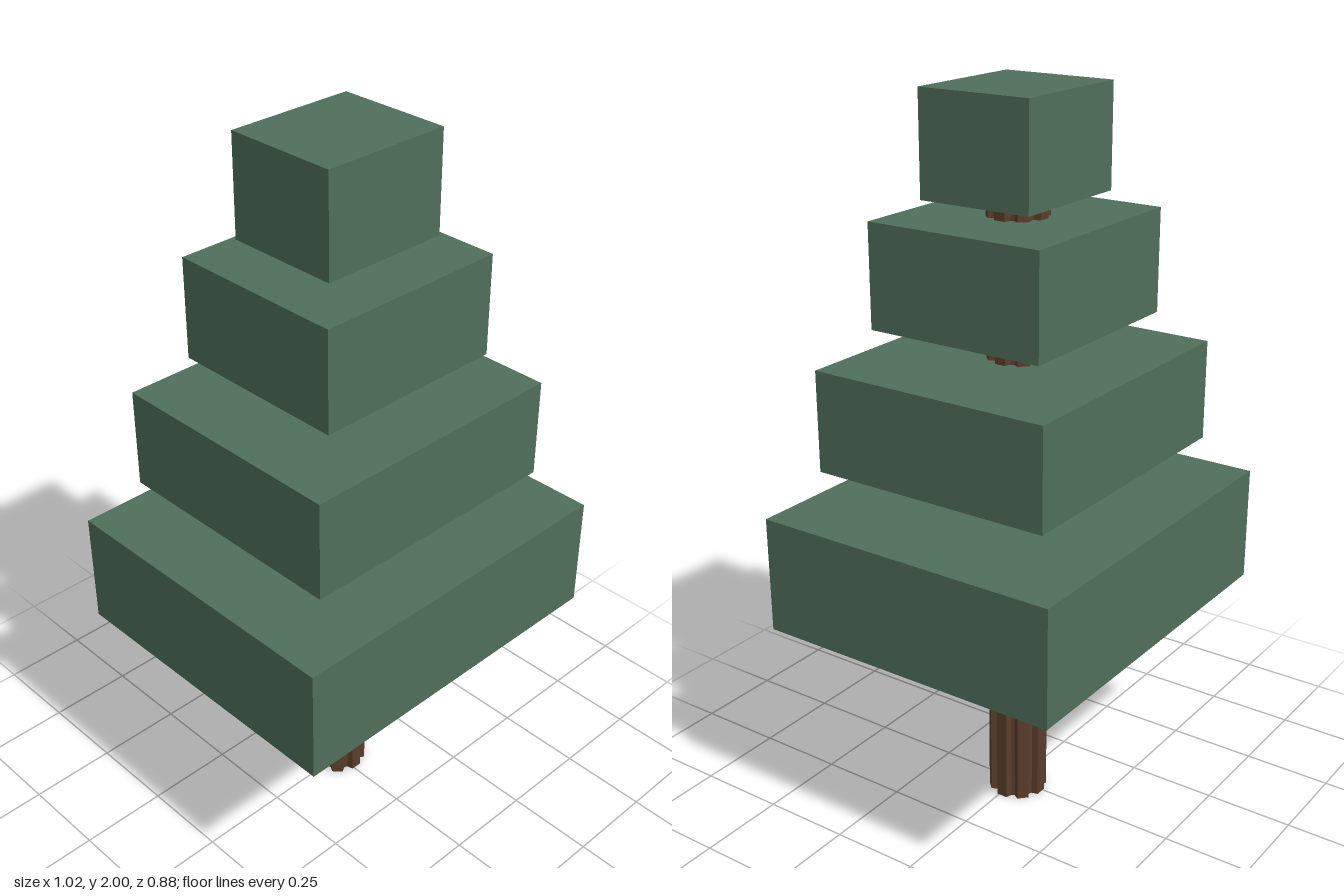
import * as THREE from 'three';

const leafMaterial = new THREE.MeshStandardMaterial({ color: 0x4f6f5b });
const barkMaterial = new THREE.MeshStandardMaterial({ color: 0x5a3e2b, flatShading: true });

// Grooved outline: blunt ridges separated by narrow valleys
function groovedOutline(ridges, outer, inner) {
  const points = [];
  const step = (Math.PI * 2) / ridges;
  for (let i = 0; i < ridges; i++) {
    for (const [offset, radius] of [[-0.4, inner], [-0.25, outer], [0.25, outer], [0.4, inner]]) {
      const a = (i + offset) * step;
      points.push(new THREE.Vector2(Math.cos(a) * radius, Math.sin(a) * radius));
    }
  }
  return new THREE.Shape(points);
}

export function createModel() {
  const tree = new THREE.Group();
  tree.name = 'tree';

  // Grooved trunk, slightly off centre, reaching into the top tier
  const trunkGeometry = new THREE.ExtrudeGeometry(groovedOutline(8, 0.082, 0.066), {
    depth: 1.78,
    bevelEnabled: false,
  });
  trunkGeometry.rotateX(-Math.PI / 2);
  const trunk = new THREE.Mesh(trunkGeometry, barkMaterial);
  trunk.name = 'trunk';
  trunk.position.set(0.01, 0, -0.01);
  tree.add(trunk);

  // Foliage tiers: width, depth, bottom, top
  const tiers = [
    [1.02, 0.884, 0.587, 0.91],
    [0.79, 0.696, 1.027, 1.304],
    [0.556, 0.512, 1.398, 1.677],
    [0.37, 0.325, 1.725, 2.0],
  ];
  tiers.forEach(([width, depth, bottom, top], i) => {
    const tier = new THREE.Mesh(new THREE.BoxGeometry(width, top - bottom, depth), leafMaterial);
    tier.name = `foliageTier${i + 1}`;
    tier.position.y = (bottom + top) / 2;
    tree.add(tier);
  });

  return tree;
}
